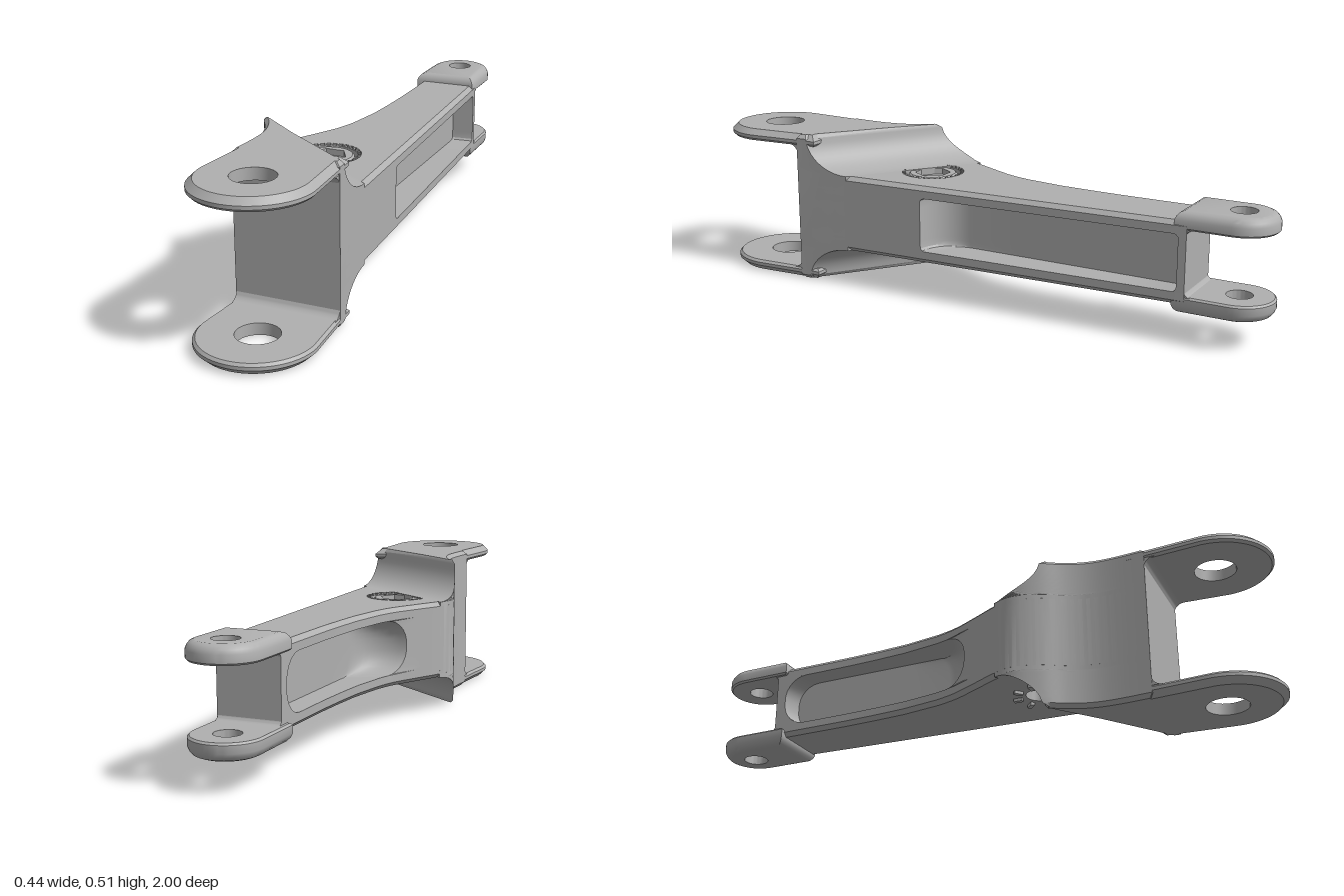
import * as THREE from 'three';
import { toCreasedNormals } from 'three/addons/utils/BufferGeometryUtils.js';

const MID = 0.255; // height of the mirror plane between upper and lower halves
const V = (x, z) => new THREE.Vector2(x, -z);
const range = (n, f) => Array.from({ length: n + 1 }, (_, i) => f(i / n));
const lerp = THREE.MathUtils.lerp;

// Plan outline of the arm: x of the left and right edges at a given z
const edge = new THREE.SplineCurve([
  [-0.06, -0.76], [-0.06, -0.55], [-0.062, -0.4], [-0.075, -0.2], [-0.105, -0.06], [-0.15, 0.04], [-0.2, 0.14],
  [-0.222, 0.215], [-0.2, 0.3], [-0.16, 0.37], [-0.135, 0.44], [-0.128, 0.52], [-0.135, 0.65], [-0.147, 0.815],
].map((p) => new THREE.Vector2(...p))).getPoints(160);
function outerX(z) {
  const i = Math.max(1, edge.findIndex((p) => p.y >= z));
  const a = edge[i - 1], b = edge[i];
  return lerp(a.x, b.x, (z - a.y) / (b.y - a.y));
}
const innerX = (z) => (z < 0.6 ? lerp(0.145, 0.207, (z + 0.76) / 1.36) : lerp(0.207, 0.221, (z - 0.6) / 0.215));

const circle = (x, z, r, n = 40, a0 = 0) =>
  Array.from({ length: n }, (_, i) => V(x + r * Math.cos(a0 + (i * 2 * Math.PI) / n), z - r * Math.sin(a0 + (i * 2 * Math.PI) / n)));

// Moves a counterclockwise loop inwards by d
function inset(pts, d) {
  if (!d) return pts;
  return pts.map((p, i) => {
    const a = p.clone().sub(pts[(i + pts.length - 1) % pts.length]).normalize();
    const b = pts[(i + 1) % pts.length].clone().sub(p).normalize();
    const n = new THREE.Vector2(-a.y - b.y, a.x + b.x).normalize();
    const c = Math.max(0.5, -n.x * a.y + n.y * a.x);
    return p.clone().addScaledVector(n, d / c);
  });
}

// Walls between stacked loops [y, points]; clockwise loops face inwards
function walls(out, levels) {
  const put = ([y, pts], i) => out.push(pts[i].x, y, -pts[i].y);
  for (let k = 1; k < levels.length; k++) {
    const a = levels[k - 1], b = levels[k], n = a[1].length;
    for (let i = 0; i < n; i++) {
      const j = (i + 1) % n;
      put(a, i); put(a, j); put(b, j);
      put(a, i); put(b, j); put(b, i);
    }
  }
}
function cap(out, [y, pts], holes, up) {
  const all = [...pts, ...holes.flat()];
  for (const t of THREE.ShapeUtils.triangulateShape(pts, holes)) {
    for (const i of up ? t : [t[0], t[2], t[1]]) out.push(all[i].x, y, -all[i].y);
  }
}
// Solid from stacked loops, with optional bores {pts, top, bottom, floor}
function solid(levels, bores = []) {
  const out = [];
  const first = levels[0], last = levels[levels.length - 1];
  const cw = (b) => [...b.pts].reverse();
  walls(out, levels);
  cap(out, first, bores.filter((b) => b.bottom !== undefined && b.bottom === first[0]).map(cw), false);
  cap(out, last, bores.filter((b) => b.top === last[0]).map(cw), true);
  for (const b of bores) {
    walls(out, [[b.bottom, cw(b)], [b.top, cw(b)]]);
    if (b.floor === 'low') cap(out, [b.bottom, b.pts], [], true);
    if (b.floor === 'high') cap(out, [b.top, b.pts], [], false);
  }
  const g = new THREE.BufferGeometry();
  g.setAttribute('position', new THREE.Float32BufferAttribute(out, 3));
  return toCreasedNormals(g, 0.5);
}
const flip = (levels) => levels.map(([y, p]) => [2 * MID - y, p]).reverse();

// Arm body: outline loop whose side points sink into a pocket by amount "sink"
function bodyLoop(y, sink) {
  const d = 0.09 - Math.abs(y - MID);
  const side = (zs, ze, c, r, xAt, floorX) => {
    const us = [0, 0.008, 0.2, 0.35, 0.5, 0.65, ...range(10, (t) => 1 - c + c * Math.sin((t * Math.PI) / 2))];
    const e = sink && d < r ? r - Math.sqrt(r * r - (r - d) ** 2) : 0;
    return us.map((u, i) => {
      const z = lerp(zs + e, ze - e, u);
      const f = i === 0 ? 0 : Math.sqrt(Math.max(0, 1 - Math.max(0, (u - 1 + c) / c) ** 2));
      return V(lerp(xAt(z), floorX, f * sink), z);
    });
  };
  const left = side(-0.72, 0.01, 0.17, 0.08, outerX, 0.02);
  const right = side(-0.73, 0.15, 0.14, 0.015, innerX, 0.07).reverse();
  return [V(-0.06, -0.755), ...left, ...range(24, (t) => lerp(0.04, 0.63, t)).map((z) => V(outerX(z), z)),
    ...[0.63, 0.6, 0.4, 0.25].map((z) => V(innerX(z), z)), ...right, V(0.145, -0.755)];
}

// Fork root: its rear face runs diagonally and sweeps into the body with a fillet
function rootLoop(y) {
  const drop = Math.min(1, (MID - Math.abs(y - MID)) / 0.125);
  const t = 0.125 * (1 - Math.sqrt(1 - drop * drop));
  const hit = (lo, hi, xAt) => {
    for (let i = 0; i < 30; i++) {
      const s = (lo + hi) / 2;
      if (-0.19 + 0.58 * t + 0.81 * s < xAt(0.31 - 0.81 * t + 0.58 * s)) lo = s; else hi = s;
    }
    return 0.31 - 0.81 * t + 0.58 * lo;
  };
  const zl = hit(-0.3, 0.1, outerX), zr = hit(0.2, 0.8, innerX);
  return [...range(20, (u) => lerp(zl, 0.63, u)).map((z) => V(outerX(z), z)),
    ...range(4, (u) => lerp(0.63, zr, u)).map((z) => V(innerX(z), z))];
}

// Concave fillet running across the arm in the corner of a slot
function fillet(z, y, dz, dy, r, x0, x1) {
  const arc = range(8, (t) => new THREE.Vector2(z + dz * r * (1 - Math.sin((t * Math.PI) / 2)), y + dy * r * (1 - Math.cos((t * Math.PI) / 2))));
  const g = new THREE.ExtrudeGeometry(new THREE.Shape([new THREE.Vector2(z, y), ...arc]), { depth: x1 - x0, bevelEnabled: false });
  return toCreasedNormals(g.rotateY(-Math.PI / 2).translate(x1, 0, 0), 0.5);
}

export function createModel() {
  const model = new THREE.Group();
  const metal = new THREE.MeshStandardMaterial({ color: 0xb0b0b0 });
  metal.name = 'grey metal';
  const add = (name, geometry) => {
    const m = new THREE.Mesh(geometry, metal);
    m.name = name;
    model.add(m);
    return m;
  };
  const hx = -0.015, hz = 0.225; // hub centre

  // Arm body with a pocket in each side, a hub recess on top and a bore below
  const plain = bodyLoop(MID, 0);
  const lower = [[0.125, inset(plain, 0.014)], [0.139, plain], [0.165, plain]];
  const pocket = range(14, (t) => MID - 0.09 * Math.cos(t * Math.PI)).map((y) => [y, bodyLoop(y, 1)]);
  add('armBody', solid([...lower, ...pocket, ...flip(lower)], [
    { pts: circle(hx, hz, 0.105), top: 0.385, bottom: 0.36, floor: 'low' },
    { pts: circle(hx, hz, 0.045), top: 0.165, bottom: 0.125, floor: 'high' },
  ]));

  // Hub insert with hexagonal socket, rim and knurls
  const disc = circle(hx, hz, 0.083);
  add('hubInsert', solid([[0.355, disc], [0.376, disc], [0.382, inset(disc, 0.006)]],
    [{ pts: circle(hx, hz, 0.06, 6), top: 0.382, bottom: 0.362, floor: 'low' }]));
  const rim = circle(hx, hz, 0.105);
  add('hubRim', solid([[0.36, rim], [0.38, rim]], [{ pts: circle(hx, hz, 0.094), top: 0.38, bottom: 0.36 }]));
  for (let i = 0; i < 30; i++) {
    const a = (i * Math.PI) / 15;
    const k = add('hubKnurl', new THREE.BoxGeometry(0.009, 0.008, 0.008));
    k.position.set(hx + 0.099 * Math.cos(a), 0.382, hz - 0.099 * Math.sin(a));
    k.rotation.y = a;
  }
  // Radial ribs around the lower bore
  for (let i = 0; i < 8; i++) {
    const a = (i * Math.PI) / 4;
    const rib = add('lowerRib', new THREE.BoxGeometry(0.03, 0.012, 0.014));
    rib.position.set(hx + 0.075 * Math.cos(a), 0.121, hz - 0.075 * Math.sin(a));
    rib.rotation.y = a;
  }

  // Fork root joining the body to the wide front fork
  const rootTop = [...range(12, (t) => 0.51 - 0.125 * Math.cos((t * Math.PI) / 2)).filter((y) => y < 0.494), 0.497]
    .map((y) => [y, rootLoop(y)]);
  rootTop.push([0.51, inset(rootLoop(0.51), 0.012)]);
  add('forkRoot', solid([...flip(rootTop), ...rootTop]));

  // Front fork ears
  const front = [...range(6, (t) => lerp(0.56, 0.815, t)).map((z) => V(outerX(z), z)),
    ...range(28, (t) => Math.PI * (1 - t)).slice(1, -1).map((a) => V(0.037 + 0.184 * Math.cos(a), 0.815 + 0.185 * Math.sin(a))),
    ...[0.815, 0.7, 0.6, 0.56].map((z) => V(innerX(z), z))];
  const frontEar = [[0.472, inset(front, 0.008)], [0.48, front], [0.491, front], [0.51, inset(front, 0.02)]];
  const bore = circle(0.037, 0.815, 0.067);
  add('frontForkUpperEar', solid(frontEar, [{ pts: bore, top: 0.51, bottom: 0.472 }]));
  const lowFront = flip(frontEar);
  add('frontForkLowerEar', solid(lowFront, [{ pts: bore, top: lowFront[3][0], bottom: lowFront[0][0] }]));

  // Rear fork ears
  const rear = [V(-0.075, -0.89), V(-0.075, -0.715), V(0.145, -0.715),
    ...range(24, (t) => Math.PI * t).slice(0, -1).map((a) => V(0.035 + 0.11 * Math.cos(a), -0.89 - 0.11 * Math.sin(a)))];
  const rearEar = [[0.358, inset(rear, 0.006)], [0.364, rear], [0.388, rear], [0.4, inset(rear, 0.005)],
    [0.409, inset(rear, 0.013)], [0.414, inset(rear, 0.025)]];
  const pin = circle(0.035, -0.89, 0.041);
  add('rearForkUpperEar', solid(rearEar, [{ pts: pin, top: 0.414, bottom: 0.358 }]));
  const lowRear = flip(rearEar);
  add('rearForkLowerEar', solid(lowRear, [{ pts: pin, top: lowRear[5][0], bottom: lowRear[0][0] }]));

  // Fillets inside both fork slots
  for (const s of [1, -1]) {
    add('frontSlotFillet', fillet(0.628, MID + s * 0.219, 1, -s, 0.035, -0.132, 0.207));
    add('rearSlotFillet', fillet(-0.753, MID + s * 0.105, -1, -s, 0.022, -0.06, 0.143));
  }
  return model;
}
